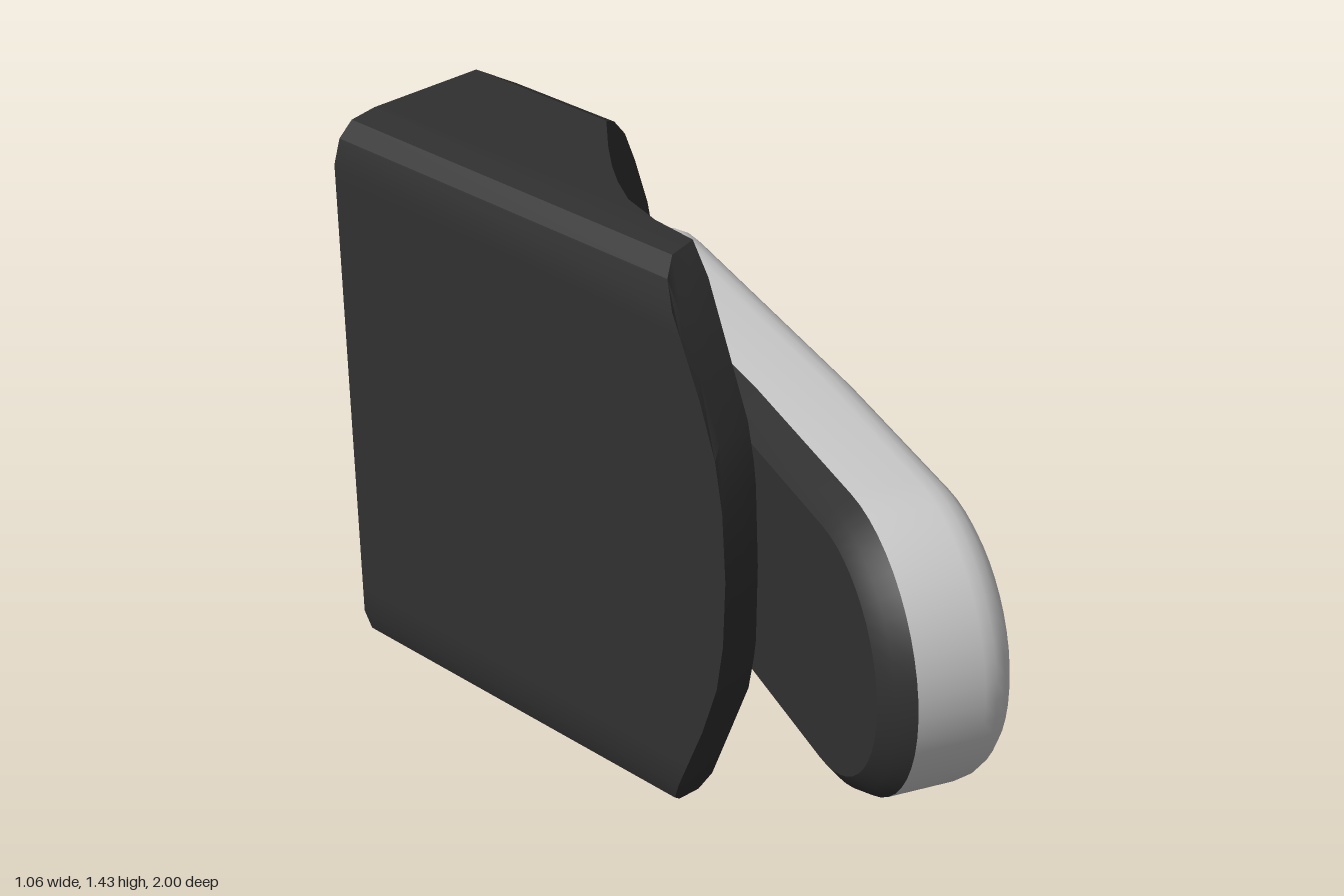
import * as THREE from 'three';
import { toCreasedNormals } from 'three/addons/utils/BufferGeometryUtils.js';

const MID = 0.715; // height of the horizontal symmetry plane
const dark = new THREE.MeshStandardMaterial({ color: 0x303030 });
const light = new THREE.MeshStandardMaterial({ color: 0xcccccc });

// Collects quads and turns them into a creased geometry
function surface(build, crease) {
  const pos = [];
  const tri = (a, b, c) => pos.push(...a, ...b, ...c);
  const quad = (a, b, c, d) => { tri(a, b, c); tri(a, c, d); };
  build(quad, tri);
  const g = new THREE.BufferGeometry();
  g.setAttribute('position', new THREE.Float32BufferAttribute(pos, 3));
  return toCreasedNormals(g, crease);
}

function mesh(name, geometry, material) {
  const m = new THREE.Mesh(geometry, material);
  m.name = name;
  return m;
}

// Housing: D-shaped block whose front is hollowed by a curved sweep
function housingGeometry() {
  // columns: x, half height, front z (null = follows the bowed nose)
  const columns = [
    [-0.38, 0.61, null], [-0.36, 0.67, null], [-0.32, 0.705, null], [-0.27, 0.715, null],
    [-0.235, 0.715, -0.08], [-0.2, 0.715, -0.2], [-0.15, 0.715, -0.285], [-0.1, 0.715, -0.355],
    [-0.03, 0.715, -0.44], [0.07, 0.715, -0.55], [0.2, 0.64, -0.66], [0.32, 0.545, -0.75],
    [0.4, 0.435, -0.8], [0.475, 0.285, -0.835], [0.515, 0.145, -0.85], [0.53, 0, -0.857],
  ];
  const rows = [-1, -0.9, -0.7, -0.48, -0.28, 0, 0.28, 0.48, 0.7, 0.9, 1];
  const bow = [[0, 0.27], [0.2, 0.26], [0.345, 0.23], [0.645, 0.1], [0.715, 0.05]];
  const nose = (d) => {
    const k = Math.max(1, bow.findIndex((p) => p[0] >= d - 1e-6));
    const [a, b] = [bow[k - 1], bow[k]];
    return a[1] + (b[1] - a[1]) * (d - a[0]) / (b[0] - a[0]);
  };
  const front = columns.map(([x, h, z], i) => rows.map((t) => {
    const zf = z ?? nose(Math.abs(t) * h);
    const xf = i === 3 ? x + 0.02 * (0.27 - zf) / 0.22 : x;
    return [xf, MID + t * h, zf];
  }));
  const back = front.map((col) => col.map(([x, y]) => [x, y, -1]));
  const last = rows.length - 1;
  return surface((quad) => {
    for (let i = 0; i < columns.length - 1; i++) {
      for (let j = 0; j < last; j++) {
        quad(front[i][j], front[i + 1][j], front[i + 1][j + 1], front[i][j + 1]);
        quad(back[i][j], back[i][j + 1], back[i + 1][j + 1], back[i + 1][j]);
      }
      quad(front[i][last], front[i + 1][last], back[i + 1][last], back[i][last]);
      quad(front[i][0], back[i][0], back[i + 1][0], front[i + 1][0]);
    }
    for (let j = 0; j < last; j++) quad(front[0][j], front[0][j + 1], back[0][j + 1], back[0][j]);
  }, 0.35);
}

// Lever outline, inset by a given amount: round at one end, tapered at the other
function leverOutline(inset) {
  const pts = [];
  const arc = (cx, cy, r, from, to, n) => {
    for (let k = 0; k <= n; k++) {
      const a = THREE.MathUtils.degToRad(from + (to - from) * k / n);
      pts.push([cx + r * Math.cos(a), cy + r * Math.sin(a)]);
    }
  };
  arc(0.7, -0.11, 0.2 - inset, -90, 0, 8);
  arc(0.7, 0.11, 0.2 - inset, 0, 90, 8);
  pts.push([-0.2, 0.35 - inset]);
  arc(-0.706, 0, 0.35 - inset, 90, 270, 24);
  pts.push([-0.2, -0.35 + inset]);
  return pts;
}

// Lofts the outline through [depth, inset] steps and caps both ends
function leverLayer(steps) {
  const rings = steps.map(([z, inset]) => leverOutline(inset).map(([x, y]) => [x, y, z]));
  const n = rings[0].length;
  const top = rings.length - 1;
  return surface((quad, tri) => {
    for (let j = 0; j < n; j++) {
      const q = (j + 1) % n;
      for (let k = 0; k < top; k++) quad(rings[k][j], rings[k][q], rings[k + 1][q], rings[k + 1][j]);
      tri([0, 0, steps[0][0]], rings[0][q], rings[0][j]);
      tri([0, 0, steps[top][0]], rings[top][j], rings[top][q]);
    }
  }, 0.5);
}

export function createModel() {
  const model = new THREE.Group();
  model.name = 'leverSwitch';
  model.add(mesh('housing', housingGeometry(), dark));

  // Slanted lever: dark backing plate with a rounded light cover
  const lever = new THREE.Group();
  lever.name = 'lever';
  lever.position.y = MID;
  lever.rotation.y = Math.atan2(0.916, 0.4);
  lever.add(mesh('leverBacking', leverLayer([[-0.146, 0.06], [-0.12, 0.025], [-0.08, 0]]), dark));
  const r = 0.09;
  const cover = [[-0.08, 0]];
  for (let k = 0; k <= 5; k++) {
    const a = k / 5 * Math.PI / 2;
    cover.push([0.163 - r + r * Math.sin(a), r - r * Math.cos(a)]);
  }
  lever.add(mesh('leverCover', leverLayer(cover), light));
  model.add(lever);

  // Small indicator disc on the hollowed face
  const disc = new THREE.CylinderGeometry(0.053, 0.053, 0.05, 24).rotateX(Math.PI / 2);
  const indicator = mesh('indicator', disc, light);
  indicator.position.set(0.063, 1.225, -0.55);
  indicator.rotation.y = Math.PI / 4;
  model.add(indicator);
  return model;
}
